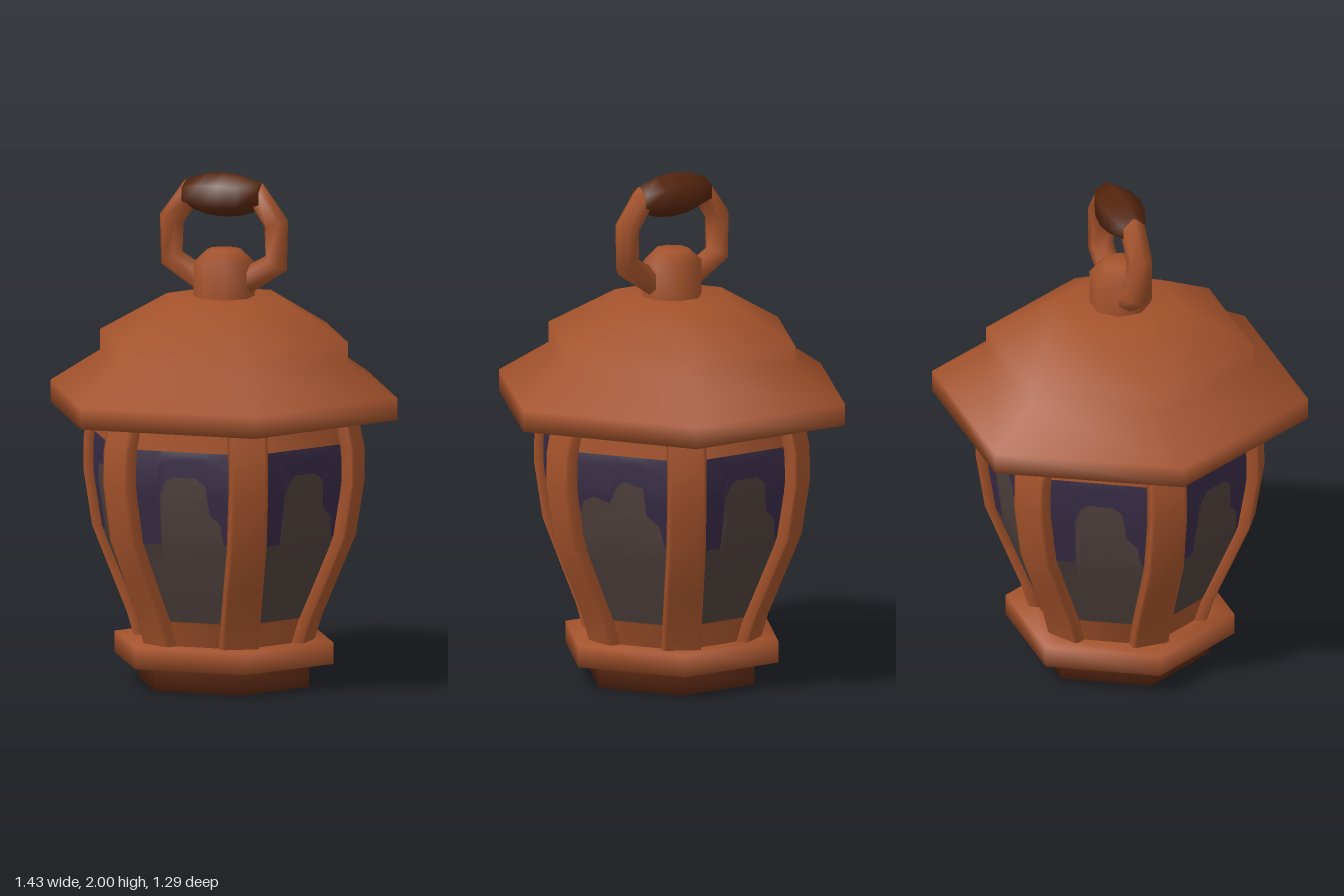
import * as THREE from 'three';

const mat = (name, color, side = THREE.FrontSide) =>
  Object.assign(new THREE.MeshStandardMaterial({ color, side }), { name });

// Corner radius of the lantern body against height
const PROFILE = [[0.352, 0.18], [0.38, 0.27], [0.445, 0.42], [0.522, 0.6], [0.558, 0.82], [0.556, 0.95], [0.53, 1.07]];

// Piecewise linear lookup in [value, key] pairs
function lookup(pairs, key) {
  for (let i = 1; i < pairs.length; i++) {
    const [v0, k0] = pairs[i - 1], [v1, k1] = pairs[i];
    if (key <= k1) return v0 + (v1 - v0) * (key - k0) / (k1 - k0);
  }
  return pairs[pairs.length - 1][0];
}
const bodyRadius = (y) => lookup(PROFILE, y) - 0.003;

// Skin of quads over rows of points; closed rows wrap around
function loft(rows, closed) {
  const n = rows[0].length, index = [];
  for (let j = 0; j < rows.length - 1; j++) {
    for (let i = 0; i < (closed ? n : n - 1); i++) {
      const k = (i + 1) % n, a = j * n + i, b = j * n + k;
      index.push(a, b, b + n, a, b + n, a + n);
    }
  }
  const g = new THREE.BufferGeometry();
  g.setAttribute('position', new THREE.Float32BufferAttribute(rows.flat(2), 3));
  g.setIndex(index);
  g.computeVertexNormals();
  return g;
}

// Smooth-shaded prism profile, six-sided with a corner on +x by default
const turned = (pts, sides = 6, start = Math.PI / 2) =>
  new THREE.LatheGeometry(pts.map((p) => new THREE.Vector2(...p)), sides, start);

export function createModel() {
  const copper = mat('copper', 0xa3522b);
  const darkCopper = mat('dark copper', 0x622d16);
  const gripBrown = mat('grip brown', 0x54250e);
  const violet = mat('violet glass', 0x372b44, THREE.DoubleSide);
  const smoke = mat('smoky glass', 0x4e403c, THREE.DoubleSide);

  const model = new THREE.Group();
  model.name = 'lantern';
  const add = (name, geometry, material, parent = model) => {
    const m = new THREE.Mesh(geometry, material);
    m.name = name;
    parent.add(m);
    return m;
  };

  // Foot and flange
  add('foot', turned([[0, 0], [0.35, 0], [0.35, 0.1]]), darkCopper);
  add('flange', turned([[0.34, 0.07], [0.34, 0.095], [0.45, 0.095], [0.45, 0.18], [0.345, 0.18], [0.345, 0.2]]), copper);

  // Two-tier roof, slightly deeper than a regular hexagon, and its knob
  const roof = turned([[0.5, 1.03], [0.5, 1.065], [0.715, 1.065], [0.715, 1.15], [0.51, 1.28], [0.51, 1.36],
    [0.235, 1.515], [0, 1.515]]);
  roof.scale(1, 1, 1.043);
  add('roof', roof, copper);
  add('knob', turned([[0.118, 1.5], [0.118, 1.65], [0.065, 1.7], [0, 1.7]], 8, Math.PI / 8), copper);

  // Rails above and below the glass
  for (const [name, ...ys] of [['bottomRail', 0.18, 0.27, 0.28], ['topRail', 0.97, 1.07]]) {
    add(name, turned(ys.map((y) => [bodyRadius(y), y])), copper);
  }

  // Corner posts following the body curve
  const section = [[-0.06, 0.076], [-0.006, 0.074], [0, 0.06], [0, -0.06], [-0.006, -0.074], [-0.06, -0.076]];
  const postGeometry = loft(PROFILE.map(([r, y]) => section.map(([d, z]) => [r + d, y, z])), true);
  for (let k = 0; k < 6; k++) add('cornerPost', postGeometry, copper).rotation.y = k * Math.PI / 3;

  // Glass panes, split along a painted candle outline given as [height, across]
  const candle = [[0.6, 0], [0.6, 0.31], [0.8, 0.33], [0.85, 0.37], [0.87, 0.42], [0.87, 0.6],
    [0.84, 0.67], [0.73, 0.7], [0.69, 0.78], [0.61, 0.81], [0.6, 1]];
  const drippingCandle = [[0.7, 0], [0.72, 0.15], [0.78, 0.2], [0.8, 0.28], [0.78, 0.4], [0.85, 0.46],
    [0.87, 0.52], [0.85, 0.66], [0.74, 0.68], [0.7, 0.78], [0.62, 0.82], [0.6, 1]];
  const pane = (outline, low, high) => {
    const rows = [];
    for (let j = 0; j <= 8; j++) {
      rows.push(outline.map(([h, u]) => {
        const y0 = low ?? h, y1 = high ?? h, y = y0 + (y1 - y0) * j / 8, r = bodyRadius(y);
        return [(u - 0.5) * r, y, r * Math.sqrt(0.75)];
      }));
    }
    return loft(rows, false);
  };
  for (let k = 0; k < 6; k++) {
    const outline = k === 2 ? drippingCandle : candle;
    const g = new THREE.Group();
    g.name = 'windowPane';
    g.rotation.y = k * Math.PI / 3;
    add('lowerGlass', pane(outline, 0.28, null), smoke, g);
    add('upperGlass', pane(outline, null, 0.97), violet, g);
    model.add(g);
  }

  // Two bent arms of the carrying ring
  for (const s of [1, -1]) {
    const path = [[0.07, 1.565], [0.215, 1.655], [0.215, 1.81], [0.135, 1.92], [0, 1.93]]
      .map(([x, y]) => new THREE.Vector2(s * x, y));
    const rows = path.map((p, i) => {
      const t = path[Math.min(i + 1, path.length - 1)].clone().sub(path[Math.max(i - 1, 0)]).normalize();
      return Array.from({ length: 6 }, (_, k) => {
        const a = k * Math.PI / 3, c = 0.051 * Math.cos(a);
        return [p.x - t.y * c, p.y + t.x * c, 0.051 * Math.sin(a)];
      });
    });
    add('ringArm', loft(rows, true), copper);
  }

  // Barrel-shaped grip on top of the ring
  const gripGeometry = turned([[0, -0.157], [0.052, -0.157], [0.079, -0.075], [0.087, 0], [0.079, 0.075],
    [0.052, 0.157], [0, 0.157]]);
  gripGeometry.scale(1, 1, 1.08);
  const grip = add('grip', gripGeometry, gripBrown);
  grip.rotation.z = Math.PI / 2;
  grip.position.y = 1.913;

  return model;
}
